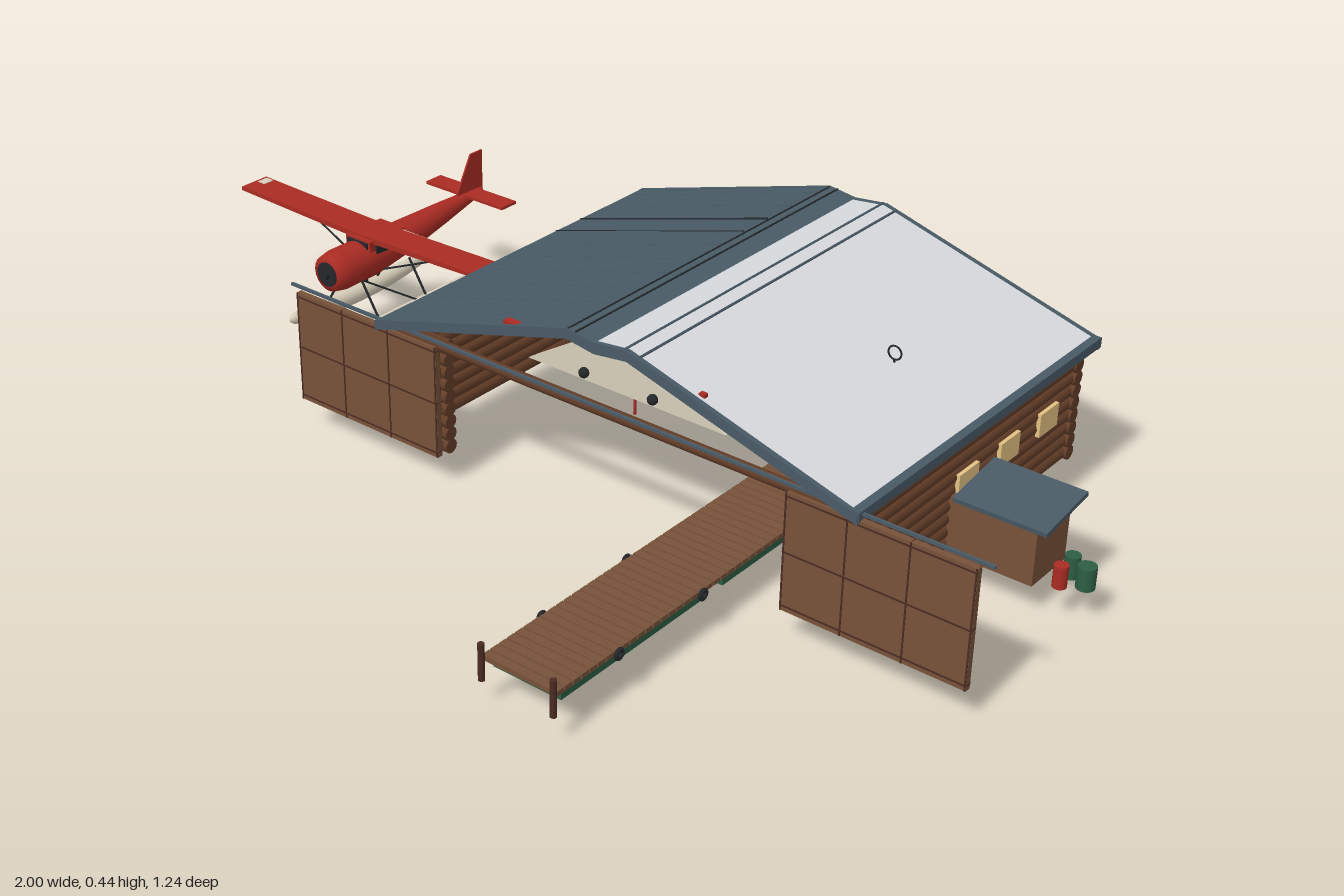
import * as THREE from 'three';

const mat = (name, color) => Object.assign(new THREE.MeshStandardMaterial({ color }), { name });

export function createModel() {
  const root = new THREE.Group();
  root.name = 'lakeHangar';
  const slate = mat('slate roof', 0x485a66), pale = mat('pale metal roof', 0xd6d9dc),
    log = mat('log brown', 0x633d28), plank = mat('plank brown', 0x775239),
    dark = mat('dark iron', 0x24272a), cream = mat('cream', 0xd8cfba),
    glow = mat('window yellow', 0xe3c283), red = mat('red', 0xaa2c24),
    green = mat('green', 0x2c5e44), gableBrown = mat('dark brown', 0x4a2b22);

  const group = (name, parent = root) => {
    const g = new THREE.Group();
    g.name = name;
    parent.add(g);
    return g;
  };
  const add = (parent, name, geo, m, x = 0, y = 0, z = 0) => {
    const mesh = new THREE.Mesh(geo, m);
    mesh.name = name;
    mesh.position.set(x, y, z);
    parent.add(mesh);
    return mesh;
  };
  // box given by its min and max on each axis
  const box = (p, name, m, x0, x1, y0, y1, z0, z1) =>
    add(p, name, new THREE.BoxGeometry(x1 - x0, y1 - y0, z1 - z0), m, (x0 + x1) / 2, (y0 + y1) / 2, (z0 + z1) / 2);
  // round bar between two points
  const bar = (p, name, m, a, b, r, sides = 12) => {
    const A = new THREE.Vector3(...a), B = new THREE.Vector3(...b), d = B.clone().sub(A);
    const mesh = add(p, name, new THREE.CylinderGeometry(r, r, d.length(), sides), m);
    mesh.position.copy(A.add(B).multiplyScalar(0.5));
    mesh.quaternion.setFromUnitVectors(new THREE.Vector3(0, 1, 0), d.normalize());
    return mesh;
  };
  // outline in x, y extruded from z0 to z1
  const prism = (p, name, m, pts, z0, z1) => {
    const shape = new THREE.Shape(pts.map(q => new THREE.Vector2(...q)));
    return add(p, name, new THREE.ExtrudeGeometry(shape, { depth: z1 - z0, bevelEnabled: false }), m, 0, 0, z0);
  };

  // log walls, nine courses
  const walls = group('logWalls');
  for (let i = 0; i < 9; i++) {
    const y = 0.078 + i * 0.0257, r = 0.0145;
    for (const x of [-0.25, 0.725]) bar(walls, 'sideLog', log, [x, y, -0.595], [x, y, 0.145], r);
    bar(walls, 'backLog', log, [-0.268, y, -0.585], [0.743, y, -0.585], r);
    bar(walls, 'frontLog', log, [-0.25, y, 0.13], [-0.14, y, 0.13], r);
    bar(walls, 'frontLog', log, [0.62, y, 0.13], [0.725, y, 0.13], r);
  }
  bar(walls, 'header', log, [-0.25, 0.292, 0.145], [0.725, 0.292, 0.145], 0.011);

  // closed gable at the back, open one with a pale panel at the front
  prism(walls, 'backGable', gableBrown, [[-0.25, 0.295], [0.725, 0.295], [0.29, 0.42], [0.17, 0.42]], -0.595, -0.58);
  prism(walls, 'gablePanel', cream, [[0.03, 0.312], [0.46, 0.312], [0.31, 0.39], [0.155, 0.39]], 0.1, 0.108);
  for (const x of [0.16, 0.31]) add(walls, 'lamp', new THREE.SphereGeometry(0.01, 12, 8), dark, x, 0.328, 0.112);

  // roof slopes with a flattened ridge
  const roof = group('roof');
  prism(roof, 'leftSlope', slate,
    [[-0.29, 0.291], [0.165, 0.423], [0.225, 0.413], [0.225, 0.428], [0.165, 0.436], [-0.29, 0.303]], -0.62, 0.165);
  prism(roof, 'rightSlope', pale,
    [[0.225, 0.413], [0.295, 0.423], [0.76, 0.291], [0.76, 0.303], [0.295, 0.436], [0.225, 0.428]], -0.62, 0.165);
  prism(roof, 'ceiling', slate, [[0.225, 0.41], [0.295, 0.42], [0.755, 0.288], [0.755, 0.292], [0.295, 0.424], [0.225, 0.414]], -0.62, 0.165);
  for (const z of [-0.622, 0.157]) {
    prism(roof, 'bargeBoard', slate, [[0.225, 0.408], [0.295, 0.417], [0.76, 0.285], [0.76, 0.304], [0.295, 0.437], [0.225, 0.429]], z, z + 0.01);
    prism(roof, 'bargeBoard', slate, [[-0.29, 0.285], [0.165, 0.417], [0.225, 0.408], [0.225, 0.429], [0.165, 0.437], [-0.29, 0.304]], z, z + 0.01);
  }
  for (let i = 0; i < 10; i++)
    bar(roof, 'seam', slate, [-0.288, 0.303, -0.575 + i * 0.077], [0.163, 0.435, -0.575 + i * 0.077], 0.002, 6);
  for (const z of [-0.42, -0.345]) bar(roof, 'darkSeam', dark, [-0.288, 0.304, z], [0.163, 0.436, z], 0.002, 6);
  for (const x of [0.167, 0.185]) bar(roof, 'ridgeLine', dark, [x, 0.436, -0.62], [x, 0.436, 0.165], 0.0018, 6);
  for (const [x, y] of [[0.288, 0.436], [0.318, 0.43]]) bar(roof, 'ridgeLine', slate, [x, y, -0.62], [x, y, 0.165], 0.0025, 6);
  box(roof, 'rightEave', slate, 0.745, 0.762, 0.289, 0.308, -0.62, 0.165);
  bar(roof, 'leftEave', slate, [-0.288, 0.294, -0.62], [-0.288, 0.294, 0.165], 0.006, 8);
  bar(roof, 'hoopPost', dark, [0.575, 0.35, -0.22], [0.575, 0.362, -0.22], 0.002, 6);
  add(roof, 'hoop', new THREE.TorusGeometry(0.013, 0.0018, 6, 20), dark, 0.575, 0.374, -0.22);
  box(roof, 'redMarker', red, 0.018, 0.052, 0.39, 0.402, 0.145, 0.16);
  box(roof, 'redMarker', red, 0.433, 0.445, 0.388, 0.4, 0.14, 0.15);

  // windows on both side walls
  const windows = group('windows');
  for (const z of [-0.21, -0.348, -0.484])
    for (const x of [-0.266, 0.741]) box(windows, 'window', glow, x - 0.004, x + 0.004, 0.167, 0.213, z - 0.032, z + 0.032);

  // sliding doors standing open on their track
  const doors = group('slidingDoors');
  for (const [x0, x1] of [[-0.5, -0.145], [0.62, 0.975]]) {
    box(doors, 'door', plank, x0, x1, 0.065, 0.292, 0.15, 0.162);
    for (const y of [0.075, 0.178, 0.284]) box(doors, 'doorRail', gableBrown, x0, x1, y - 0.0015, y + 0.0015, 0.149, 0.163);
    for (let i = 0; i < 4; i++) {
      const x = x0 + 0.002 + (x1 - x0 - 0.004) * i / 3;
      box(doors, 'doorSeam', gableBrown, x - 0.0015, x + 0.0015, 0.065, 0.292, 0.149, 0.163);
    }
  }
  box(doors, 'track', slate, -0.52, 1, 0.299, 0.304, 0.151, 0.157);

  // lean-to shed and drums beside it
  const shed = group('shed');
  box(shed, 'shedWalls', plank, 0.735, 0.905, 0.065, 0.178, -0.277, -0.165);
  box(shed, 'shedRoof', slate, 0.745, 0.925, 0.181, 0.19, -0.295, -0.158).rotation.x = 0.14;
  const drum = (m, x, z, h = 0.043, r = 0.014) =>
    add(shed, 'drum', new THREE.CylinderGeometry(r, r, h, 16), m, x, 0.066 + h / 2, z);
  drum(green, 0.94, -0.235);
  drum(green, 0.975, -0.22, 0.043, 0.017);
  drum(red, 0.94, -0.195, 0.043, 0.013);
  for (const [x, z] of [[0.53, -0.1], [0.565, -0.08], [0.55, -0.14]]) drum(green, x, z);
  bar(shed, 'redCanister', red, [0.71, 0.058, -0.12], [0.71, 0.058, -0.23], 0.007);

  // red workbench and stand inside
  const bench = group('workbench');
  box(bench, 'benchTop', red, -0.14, -0.05, 0.105, 0.11, -0.27, -0.24);
  for (const x of [-0.132, -0.058]) bar(bench, 'benchLeg', red, [x, 0.066, -0.255], [x, 0.106, -0.255], 0.004, 8);
  bar(bench, 'redStand', red, [0.03, 0.066, -0.2], [0.03, 0.145, -0.2], 0.003, 8);

  // floating dock running from inside the hangar
  const dock = group('dock');
  box(dock, 'deckBase', plank, 0.364, 0.511, 0.085, 0.091, -0.24, 0.605);
  for (let i = 0; i < 42; i++) {
    const z = -0.24 + i * 0.0202;
    box(dock, 'deckPlank', plank, 0.36, 0.515, 0.086, 0.095, z, z + 0.0175);
  }
  for (const z of [-0.2, 0.22]) box(dock, 'float', green, 0.368, 0.508, 0.066, 0.085, z, z + 0.367);
  for (const x of [0.363, 0.512]) {
    bar(dock, 'endPost', gableBrown, [x, 0.05, 0.61], [x, 0.12, 0.61], 0.006);
    for (const z of [0.235, 0.456])
      add(dock, 'tyre', new THREE.TorusGeometry(0.008, 0.004, 8, 16), dark, x < 0.4 ? 0.357 : 0.518, 0.087, z).rotation.y = Math.PI / 2;
  }

  // floatplane, nose towards +z
  const plane = group('floatplane');
  plane.position.x = -0.648;
  const body = new THREE.LatheGeometry([[0, -0.525], [0.009, -0.52], [0.023, -0.4], [0.036, -0.27], [0.042, -0.18],
    [0.043, -0.09], [0.038, -0.063], [0.024, -0.06]].map(q => new THREE.Vector2(...q)), 20);
  body.rotateX(Math.PI / 2);
  const bp = body.attributes.position;
  for (let i = 0; i < bp.count; i++) bp.setY(i, bp.getY(i) + 0.202 + Math.max(0, -0.2 - bp.getZ(i)) * 0.1);
  body.computeVertexNormals();
  add(plane, 'fuselage', body, red);
  bar(plane, 'engine', dark, [0, 0.202, -0.08], [0, 0.202, -0.058], 0.026, 20);
  bar(plane, 'noseHub', dark, [0, 0.202, -0.06], [0, 0.202, -0.048], 0.009);
  box(plane, 'cabin', red, -0.034, 0.034, 0.2, 0.25, -0.25, -0.15);
  box(plane, 'windscreen', dark, -0.028, 0.028, 0.228, 0.246, -0.152, -0.146);
  box(plane, 'tailPlane', red, -0.106, 0.11, 0.236, 0.242, -0.51, -0.465);
  const fin = prism(plane, 'fin', red, [[0.44, 0.235], [0.525, 0.235], [0.525, 0.325], [0.49, 0.325]], -0.002, 0.002);
  fin.rotation.y = Math.PI / 2;
  fin.position.set(-0.002, 0, 0);
  for (const s of [-1, 1]) {
    // wing half with slight dihedral
    prism(plane, 'wing', red, [[0, 0.242], [s * 0.352, 0.254], [s * 0.352, 0.262], [0, 0.254]], -0.23, -0.16);
    box(plane, 'wingTip', cream, s * 0.335 - 0.01, s * 0.335 + 0.01, 0.258, 0.263, -0.225, -0.2);
    box(plane, 'sideWindow', dark, s * 0.0355 - 0.002, s * 0.0355 + 0.002, 0.218, 0.24, -0.235, -0.165);
    bar(plane, 'wingStrut', dark, [s * 0.036, 0.18, -0.185], [s * 0.2, 0.248, -0.195], 0.002, 8);
    // pontoon with raised, tapered ends
    const pontoon = new THREE.CapsuleGeometry(0.02, 0.36, 6, 14, 8);
    pontoon.rotateX(Math.PI / 2);
    const pp = pontoon.attributes.position;
    for (let i = 0; i < pp.count; i++) {
      const t = (pp.getZ(i) / 0.2) ** 2;
      pp.setXYZ(i, pp.getX(i) * (0.95 - 0.5 * t), pp.getY(i) * (1 - 0.4 * t) + 0.01 * t, pp.getZ(i));
    }
    pontoon.computeVertexNormals();
    add(plane, 'pontoon', pontoon, cream, s * 0.073, 0.082, -0.218);
    for (const z of [-0.13, -0.27]) bar(plane, 'floatStrut', dark, [s * 0.025, 0.172, z], [s * 0.073, 0.095, z], 0.0025, 8);
    bar(plane, 'braceStrut', dark, [s * 0.025, 0.172, -0.13], [s * 0.073, 0.095, -0.25], 0.002, 8);
  }
  box(plane, 'flap', cream, -0.1, 0.1, 0.24, 0.246, -0.247, -0.23);

  // spare propeller on a red pole
  const prop = group('sparePropeller');
  prop.position.set(-0.52, 0.056, -0.21);
  for (let i = 0; i < 3; i++) {
    const blade = group('bladePivot', prop);
    blade.rotation.z = i * Math.PI * 2 / 3;
    box(blade, 'blade', dark, 0, 0.0605, -0.005, 0.005, -0.002, 0.002);
  }
  bar(prop, 'hub', red, [0, 0, -0.012], [0, 0, 0.012], 0.009);
  bar(prop, 'pole', red, [-0.05, 0.008, -0.025], [0.09, 0.008, -0.025], 0.004);

  return root;
}
